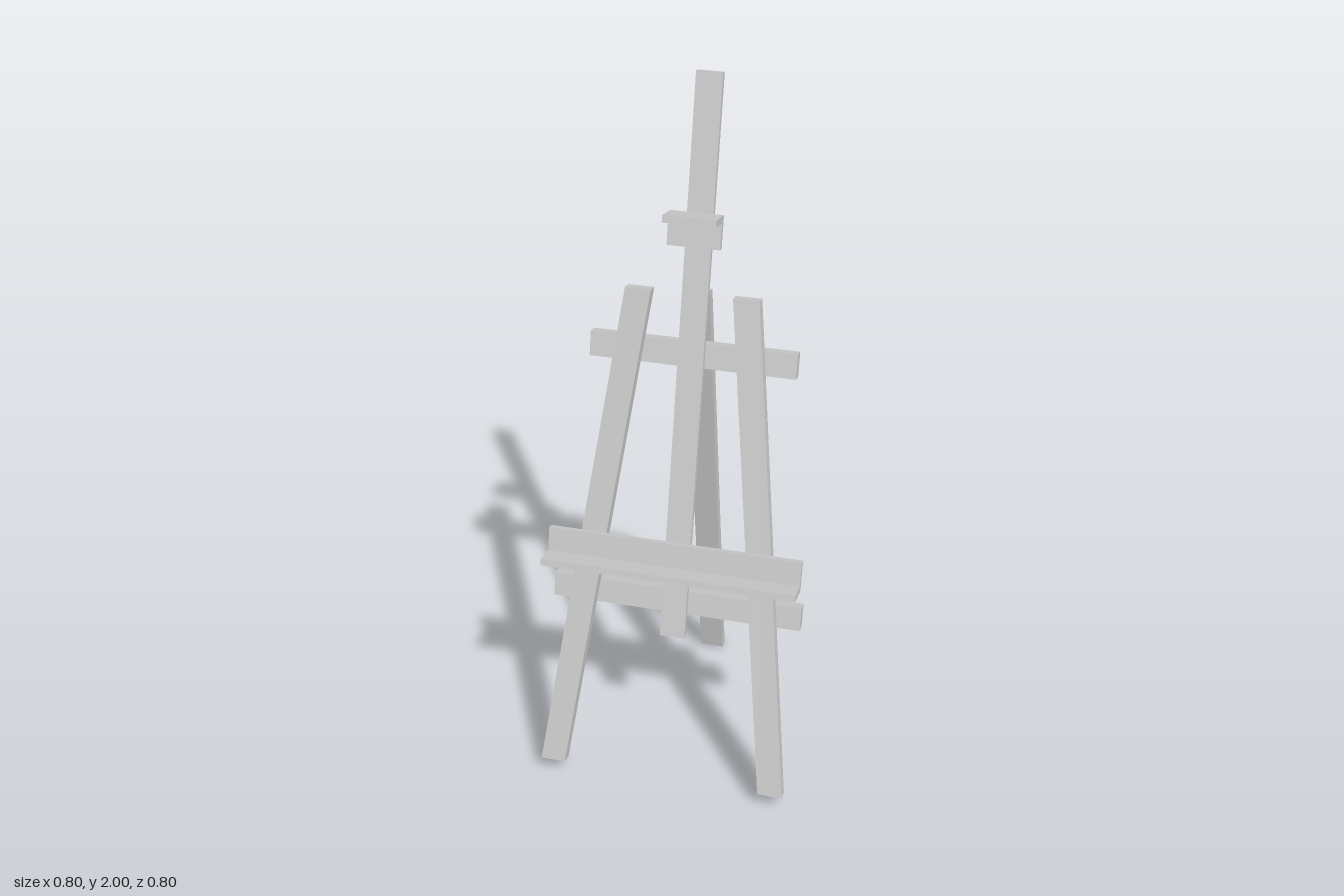
import * as THREE from 'three';

export function createModel() {
  const model = new THREE.Group();
  model.name = 'easel';
  const grey = new THREE.MeshStandardMaterial({ color: 0xcccccc });
  grey.name = 'light grey wood';

  // Frame leans back 15 degrees; the whole easel is turned 45 degrees.
  const turn = new THREE.Group();
  turn.name = 'easelTurn';
  turn.rotation.y = -Math.PI / 4;
  model.add(turn);
  const frame = new THREE.Group();
  frame.name = 'leaningFrame';
  frame.position.z = 0.192;
  frame.rotation.x = -Math.PI / 12;
  turn.add(frame);

  // Box between two heights and two depths, centred across the frame
  function board(name, width, y0, y1, z0, z1) {
    const geo = new THREE.BoxGeometry(width, y1 - y0, z1 - z0);
    geo.translate(0, (y0 + y1) / 2, (z0 + z1) / 2);
    const mesh = new THREE.Mesh(geo, grey);
    mesh.name = name;
    frame.add(mesh);
  }

  // Slanted bar whose ends stay parallel: a box sheared from foot to top
  function leg(name, foot, top, width, depth) {
    const geo = new THREE.BoxGeometry(width, 1, depth);
    const p = geo.attributes.position;
    for (let i = 0; i < p.count; i++) {
      const end = p.getY(i) < 0 ? foot : top;
      p.setXYZ(i, p.getX(i) + end[0], end[1], p.getZ(i) + end[2]);
    }
    geo.computeVertexNormals();
    const mesh = new THREE.Mesh(geo, grey);
    mesh.name = name;
    frame.add(mesh);
  }

  // Legs
  for (const [name, s] of [['leftFrontLeg', 1], ['rightFrontLeg', -1]]) {
    leg(name, [s * 0.328, 0.047, 0], [s * 0.149, 1.496, 0], 0.072, 0.04);
  }
  leg('rearLeg', [0, 0.187, -0.677], [0, 1.496, -0.058], 0.072, 0.037);

  // Central mast and the cross rails behind it
  board('mast', 0.072, 0.482, 2.076, -0.04, -0.02);
  board('lowerRail', 0.727, 0.55, 0.62, -0.077, -0.04);
  board('upperRail', 0.582, 1.28, 1.35, -0.077, -0.04);

  // Canvas shelf
  board('shelfTray', 0.727, 0.697, 0.717, 0.02, 0.111);
  board('shelfBack', 0.727, 0.717, 0.787, 0.02, 0.04);

  // Canvas holder at the top
  board('holderTop', 0.145, 1.695, 1.715, 0.02, 0.111);
  board('holderBack', 0.145, 1.625, 1.695, 0.02, 0.04);

  return model;
}
